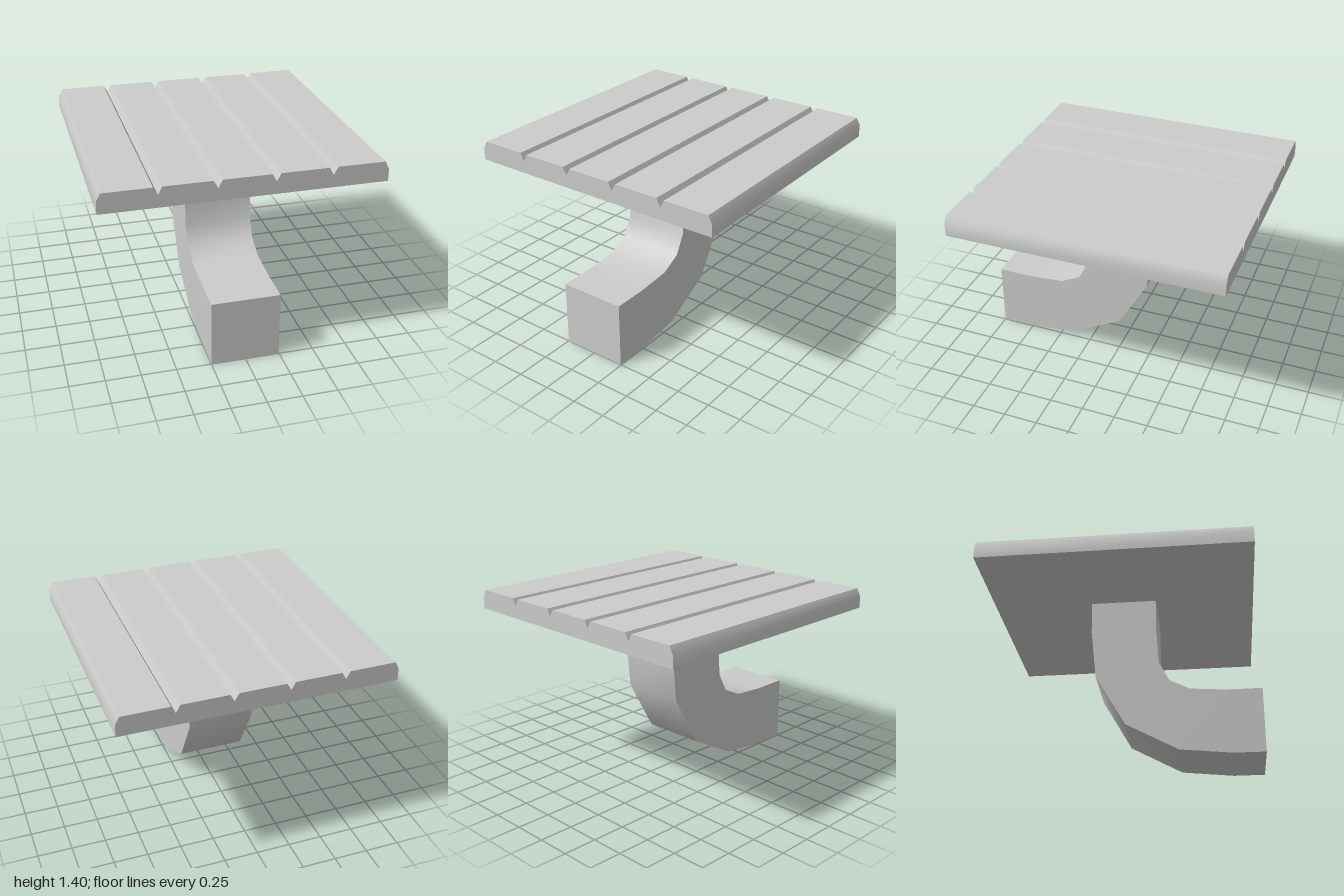
import * as THREE from 'three';
import { toCreasedNormals } from 'three/addons/utils/BufferGeometryUtils.js';

const material = new THREE.MeshStandardMaterial({ color: 0xcccccc });

// Extrudes a closed outline, centred on z, keeping strong edges sharp
function extrudeOutline(points, depth) {
  const shape = new THREE.Shape(points.map(([x, y]) => new THREE.Vector2(x, y)));
  const geometry = new THREE.ExtrudeGeometry(shape, { depth, bevelEnabled: false });
  geometry.translate(0, 0, -depth / 2);
  return toCreasedNormals(geometry, 0.7);
}

function addPart(group, name, geometry) {
  const mesh = new THREE.Mesh(geometry, material);
  mesh.name = name;
  group.add(mesh);
  return mesh;
}

export function createModel() {
  const group = new THREE.Group();
  group.name = 'plankPlatform';

  // Platform: planks with chamfered upper edges that form V grooves
  const bottom = 1.26, shoulder = 1.35, top = 1.405;
  const left = -0.988, plank = 0.3945, count = 5, bevel = 0.03;
  const right = left + plank * count;
  const outline = [[left, bottom], [right, bottom], [right, shoulder]];
  for (let i = count - 1; i >= 0; i--) {
    const x = left + i * plank;
    outline.push([x + plank - bevel, top], [x + bevel, top], [x, shoulder]);
  }
  const platform = addPart(group, 'platform', extrudeOutline(outline, 1.975));
  platform.position.z = -0.0125;

  // Support arm: curved side profile as (z, y), swept across x
  const outer = [[1, 0], [0.77, 0], [0.385, 0.04], [0, 0.25], [-0.22, 0.64], [-0.255, 1.01], [-0.255, 1.26]];
  const inner = [[0.235, 1.26], [0.235, 1.01], [0.252, 0.73], [0.327, 0.585], [0.475, 0.51], [0.73, 0.49], [1, 0.49]];
  const armGeometry = extrudeOutline([...outer, ...inner], 0.493);
  armGeometry.rotateY(-Math.PI / 2);
  addPart(group, 'supportArm', armGeometry).position.x = -0.002;

  return group;
}
